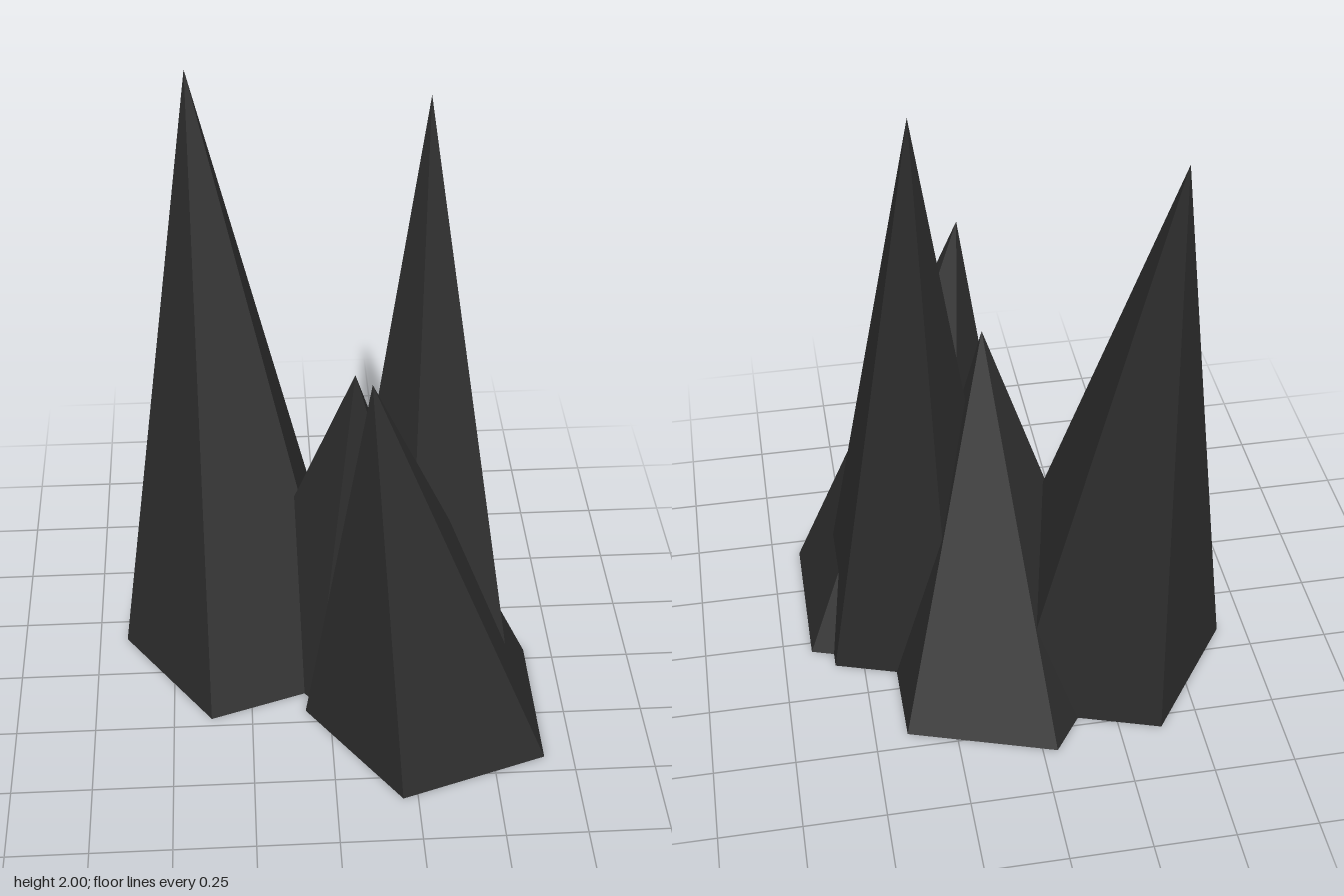
import * as THREE from 'three';

// Each spike: base centre, base radius, and the tip it leans toward
const SPIKES = [
  { name: 'tallSpikeRight', base: [-0.255, -0.165], radius: 0.405, tip: [-0.385, 1.955, -0.447] },
  { name: 'lowSpikeBack', base: [0.078, -0.211], radius: 0.398, tip: [0.085, 1.18, 0.0] },
  { name: 'tallSpikeLeft', base: [0.325, 0.078], radius: 0.328, tip: [0.3, 2.0, -0.165] },
  { name: 'mediumSpikeFront', base: [0.33, 0.2], radius: 0.408, tip: [0.11, 1.368, 0.31] },
];

// Five-sided cone sheared so its tip lies off the base centre
function leaningSpike({ name, base, radius, tip }, material) {
  const [tx, height, tz] = tip;
  const cone = new THREE.ConeGeometry(radius, height, 5, 1, false, -Math.PI / 2);
  cone.translate(0, height / 2, 0);
  const p = cone.attributes.position;
  for (let i = 0; i < p.count; i++) {
    const t = p.getY(i) / height;
    p.setX(i, p.getX(i) + base[0] + t * (tx - base[0]));
    p.setZ(i, p.getZ(i) + base[1] + t * (tz - base[1]));
  }
  const geometry = cone.toNonIndexed();
  geometry.computeVertexNormals();
  const mesh = new THREE.Mesh(geometry, material);
  mesh.name = name;
  return mesh;
}

export function createModel() {
  const rock = new THREE.MeshStandardMaterial({ color: 0x2d2d2d });
  rock.name = 'charcoal rock';
  rock.flatShading = true;

  const group = new THREE.Group();
  group.name = 'rockSpikes';
  for (const spike of SPIKES) group.add(leaningSpike(spike, rock));
  return group;
}
